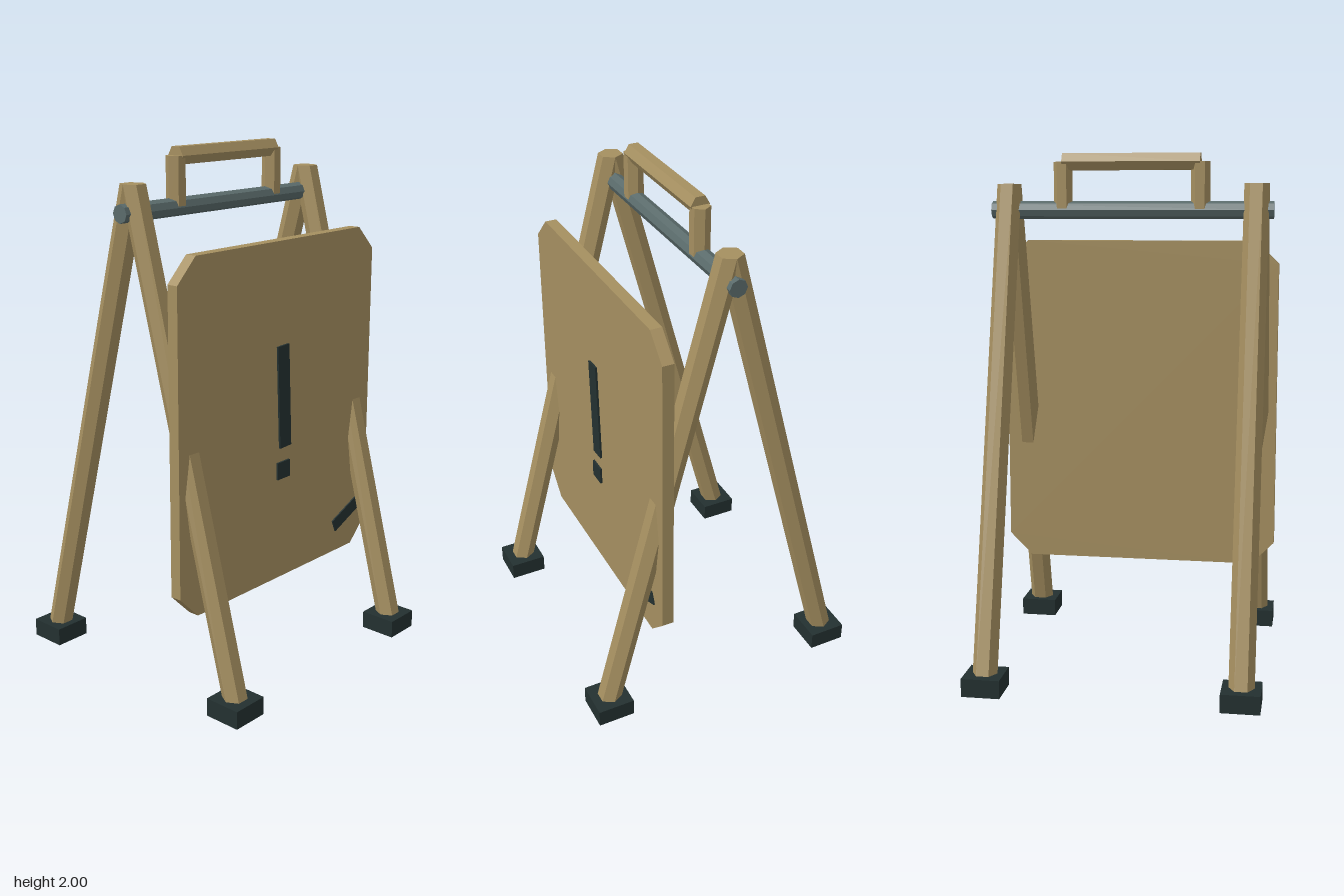
import * as THREE from 'three';

const wood = new THREE.MeshStandardMaterial({ name: 'wood', color: 0xa58f60, flatShading: true });
const steel = new THREE.MeshStandardMaterial({ name: 'steel', color: 0x5a6b6b, flatShading: true });
const dark = new THREE.MeshStandardMaterial({ name: 'darkRubber', color: 0x233030, flatShading: true });

export function createModel() {
  const model = new THREE.Group();
  model.name = 'foldingSign';

  function add(name, geometry, material, x, y, z, turn = 0) {
    const mesh = new THREE.Mesh(geometry, material);
    mesh.name = name;
    mesh.position.set(x, y, z);
    mesh.rotation.z = turn;
    model.add(mesh);
    return mesh;
  }

  // upright hexagonal prism with its points along x
  const hexPrism = (radius, height) =>
    new THREE.CylinderGeometry(radius, radius, height, 6, 1, false, Math.PI / 6);

  // splayed legs, sheared so the ends stay level, with block feet
  const legTop = 1.885, legBottom = 0.04, slope = 0.264;
  const legHeight = legTop - legBottom;
  for (const [side, x] of [['left', 0.481], ['right', -0.481]]) {
    for (const [end, dir] of [['Front', 1], ['Back', -1]]) {
      const shear = new THREE.Matrix4().set(
        1, 0, 0, 0,
        0, 1, 0, 0,
        0, -dir * slope, 1, 0,
        0, 0, 0, 1);
      const leg = hexPrism(0.048, legHeight).applyMatrix4(shear);
      add(side + end + 'Leg', leg, wood, x, (legTop + legBottom) / 2, dir * slope * legHeight / 2);
      add(side + end + 'Foot', new THREE.BoxGeometry(0.146, 0.07, 0.146), dark, x, 0.035, dir * 0.482);
    }
  }

  // hinge rod through the leg tops
  add('hingeRod', new THREE.CylinderGeometry(0.034, 0.034, 1.094, 8), steel, 0, 1.785, 0, Math.PI / 2);

  // carrying handle
  for (const [side, x] of [['left', 0.267], ['right', -0.267]]) {
    add(side + 'HandlePost', hexPrism(0.037, 0.18), wood, x, 1.878, 0);
  }
  const grip = new THREE.CylinderGeometry(0.037, 0.037, 0.534, 6);
  add('handleGrip', grip, wood, 0, 1.968, 0, Math.PI / 2);

  // board with clipped corners
  const w = 0.56, h = 0.667, c = 0.092;
  const outline = new THREE.Shape([
    [-w + c, -h], [w - c, -h], [w, -h + c], [w, h - c],
    [w - c, h], [-w + c, h], [-w, h - c], [-w, -h + c],
  ].map(([x, y]) => new THREE.Vector2(x, y)));
  const board = new THREE.ExtrudeGeometry(outline, { depth: 0.045, bevelEnabled: false });
  add('board', board, wood, 0, 0.995, 0.241);

  // warning mark and a stray stroke, standing just off the board
  add('markStroke', new THREE.BoxGeometry(0.065, 0.402, 0.008), dark, 0, 1.071, 0.299, 0.05);
  add('markDot', new THREE.BoxGeometry(0.072, 0.068, 0.008), dark, 0, 0.779, 0.299, 0.01);
  add('cornerStroke', new THREE.BoxGeometry(0.19, 0.053, 0.006), dark, 0.419, 0.484, 0.3, 0.405);

  return model;
}
